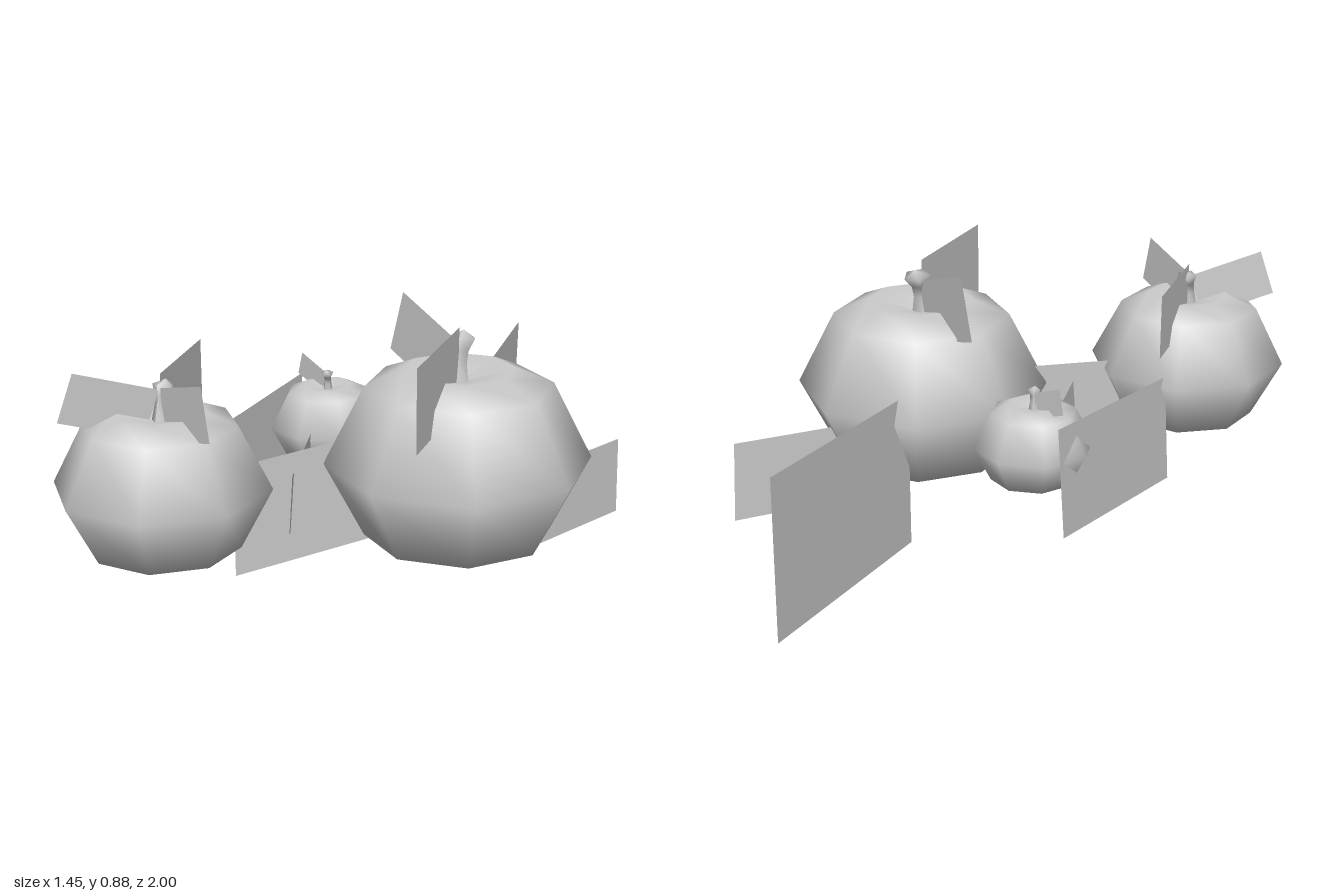
import * as THREE from 'three';

const grey = new THREE.MeshStandardMaterial({ color: 0xcccccc, side: THREE.DoubleSide });
grey.name = 'plain grey';

const profile = (pts) => pts.map(([r, y]) => new THREE.Vector2(r, y));

// Eight-sided round fruit with a dimpled top and a short bent stem
function makeFruit({ name, pos, scale, bodyTurn, stemTurn }) {
  const group = new THREE.Group();
  group.name = name;

  const bodyGeo = new THREE.LatheGeometry(profile([
    [0, -0.33], [0.287, -0.235], [0.41, 0], [0.287, 0.24], [0.168, 0.29], [0, 0.245],
  ]), 8, Math.PI / 8);
  const body = new THREE.Mesh(bodyGeo, grey);
  body.name = name + 'Body';
  body.rotation.y = bodyTurn;
  group.add(body);

  // Stem: narrow waist, flared tip, leaning further the higher it goes
  const stemGeo = new THREE.LatheGeometry(profile([
    [0.034, 0], [0.024, 0.06], [0.026, 0.1], [0.044, 0.14], [0, 0.165],
  ]), 5);
  const p = stemGeo.attributes.position;
  for (let i = 0; i < p.count; i++) {
    const y = p.getY(i);
    p.setZ(i, p.getZ(i) - y * y * 1.6);
    p.setY(i, y + p.getZ(i) * y * 1.5);
  }
  stemGeo.computeVertexNormals();
  const stem = new THREE.Mesh(stemGeo, grey);
  stem.name = name + 'Stem';
  stem.position.y = 0.245;
  stem.rotation.y = stemTurn;
  group.add(stem);

  group.position.set(...pos);
  group.scale.setScalar(scale);
  return group;
}

// Flat leaf: parallelogram from inner bottom, outer bottom and outer top corners
function makeLeaf(name, a, b, c) {
  const d = a.map((v, i) => v + c[i] - b[i]);
  const geo = new THREE.BufferGeometry();
  geo.setAttribute('position', new THREE.Float32BufferAttribute([...a, ...b, ...c, ...d], 3));
  geo.setAttribute('uv', new THREE.Float32BufferAttribute([0, 0, 1, 0, 1, 1, 0, 1], 2));
  geo.setIndex([0, 1, 2, 0, 2, 3]);
  geo.computeVertexNormals();
  const leaf = new THREE.Mesh(geo, grey);
  leaf.name = name;
  return leaf;
}

export function createModel() {
  const model = new THREE.Group();
  model.name = 'fruitCluster';
  const deg = Math.PI / 180;

  const fruits = [
    { name: 'largeFruit', pos: [0.33, 0.43, 0.155], scale: 1, bodyTurn: 0, stemTurn: 0 },
    { name: 'mediumFruit', pos: [-0.41, 0.45, 0.68], scale: 0.787, bodyTurn: -10 * deg, stemTurn: -10 * deg },
    { name: 'smallFruit', pos: [-0.185, 0.405, -0.12], scale: 0.463, bodyTurn: 12 * deg, stemTurn: 192 * deg },
  ];
  for (const f of fruits) model.add(makeFruit(f));

  const leaves = [
    // Small leaves around the stems
    ['largeTopLeafFront', [0.33, 0.595, 0.16], [0.33, 0.595, 0.6], [0.33, 0.85, 0.6]],
    ['largeTopLeafBack', [0.28, 0.595, 0.11], [0.04, 0.69, -0.08], [0.09, 0.885, -0.05]],
    ['mediumTopLeafBack', [-0.41, 0.575, 0.67], [-0.44, 0.575, 0.31], [-0.44, 0.785, 0.31]],
    ['mediumTopLeafRight', [-0.38, 0.59, 0.7], [-0.19, 0.655, 0.84], [-0.22, 0.81, 0.82]],
    ['mediumTopLeafLeft', [-0.455, 0.595, 0.7], [-0.655, 0.665, 0.84], [-0.61, 0.81, 0.82]],
    ['smallTopLeaf', [-0.21, 0.5, -0.135], [-0.31, 0.545, -0.185], [-0.29, 0.62, -0.17]],
    // Broad leaves spreading out below
    ['broadLeafBack', [0.222, 0.003, -0.16], [0.222, 0.065, -1.0], [0.245, 0.56, -0.96]],
    ['broadLeafBackSide', [0.485, 0.065, -0.05], [0.72, 0.095, -0.42], [0.72, 0.355, -0.4]],
    ['broadLeafFront', [0.15, 0.167, 0.11], [-0.25, 0.125, 0.535], [-0.25, 0.47, 0.53]],
    ['broadLeafSide', [-0.335, 0.16, -0.23], [-0.445, 0.115, 0.42], [-0.43, 0.48, 0.4]],
    ['narrowLeafMiddle', [-0.205, 0.235, 0], [-0.12, 0.23, 0.42], [-0.108, 0.42, 0.42]],
  ];
  for (const l of leaves) model.add(makeLeaf(...l));

  return model;
}
